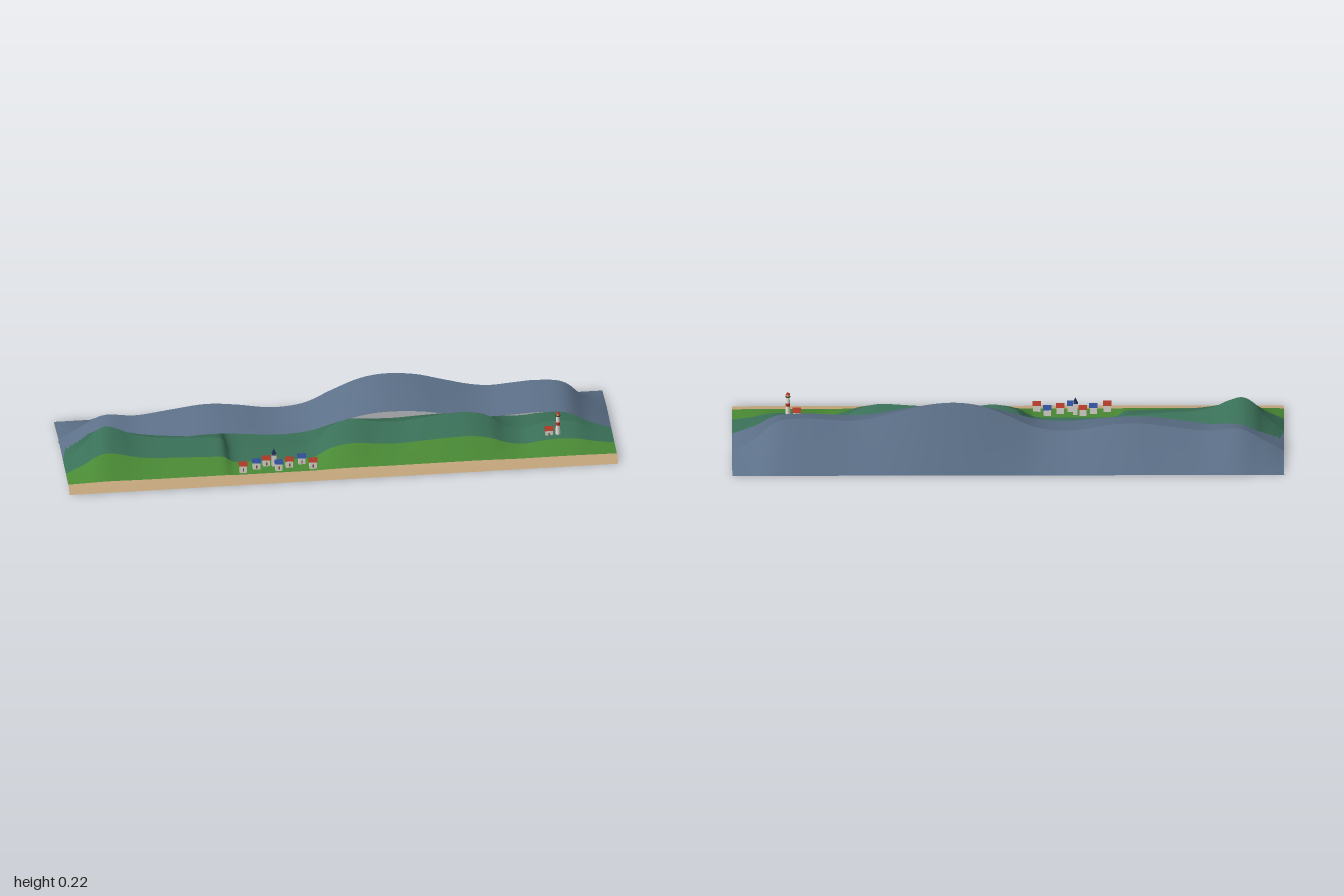
import * as THREE from 'three';

const SHORE = 0.016; // height of the flat coast
const mat = (color, extra = {}) => new THREE.MeshStandardMaterial({ color, ...extra });
const add = (group, geo, material, name, x = 0, y = 0, z = 0) => {
  const mesh = new THREE.Mesh(geo, material);
  mesh.name = name;
  mesh.position.set(x, y, z);
  group.add(mesh);
  return mesh;
};

// Smooth skyline through [x, y] points
function skyline(points, columns) {
  return new THREE.CatmullRomCurve3(points.map(([x, y]) => new THREE.Vector3(x, y, 0)), false, 'centripetal')
    .getPoints(columns);
}

// Strip of land between two rows; a row gives z and height as a function of the skyline
function band(line, back, front) {
  const pos = [], index = [];
  line.forEach((p, i) => {
    pos.push(p.x, back.y(p.y), back.z, p.x, front.y(p.y), front.z);
    if (i) {
      const a = 2 * (i - 1);
      index.push(a, a + 1, a + 2, a + 2, a + 1, a + 3);
    }
  });
  const geo = new THREE.BufferGeometry();
  geo.setAttribute('position', new THREE.Float32BufferAttribute(pos, 3));
  geo.setIndex(index);
  geo.computeVertexNormals();
  return geo;
}

const row = (z, share, base = SHORE) => ({ z, y: (h) => base + Math.max(0, h - SHORE) * share });

// Triangular roof with its ridge along x
function gable(width, height, depth) {
  const s = new THREE.Shape();
  s.moveTo(-depth / 2, 0);
  s.lineTo(depth / 2, 0);
  s.lineTo(0, height);
  return new THREE.ExtrudeGeometry(s, { depth: width, bevelEnabled: false })
    .translate(0, 0, -width / 2).rotateY(Math.PI / 2);
}

export function createModel() {
  const model = new THREE.Group();
  model.name = 'coast';
  const land = (c) => mat(c, { side: THREE.DoubleSide });
  const sand = land(0xc2a57c), grass = land(0x4a8a35), upland = land(0x3a7058), slate = land(0x5c7088);
  const white = mat(0xe8e4da), red = mat(0xb03a2a), blue = mat(0x2f4f9a), navy = mat(0x26345f);
  const brown = mat(0x8a5a3a), dark = mat(0x333333);

  // Green foreground hills with the low village valley
  const hills = skyline([
    [-1, 0.016], [-0.93, 0.08], [-0.89, 0.13], [-0.85, 0.153], [-0.8, 0.14], [-0.75, 0.115], [-0.68, 0.098],
    [-0.58, 0.09], [-0.48, 0.082], [-0.425, 0.076], [-0.39, 0.036], [-0.3, 0.028], [-0.2, 0.028], [-0.1, 0.034],
    [-0.07, 0.06], [-0.03, 0.1], [0.05, 0.125], [0.14, 0.11], [0.22, 0.104], [0.3, 0.114], [0.4, 0.125],
    [0.48, 0.126], [0.55, 0.104], [0.61, 0.062], [0.67, 0.045], [0.74, 0.062], [0.8, 0.069], [0.87, 0.06],
    [0.93, 0.035], [1, 0.016],
  ], 120);
  const edge = row(0.26, 0, 0), beach = row(0.236, 0), meadow = row(0.213, 0.03),
    shoulder = row(0.135, 0.55), crest = row(0.048, 1), lee = row(-0.075, 0.35), foot = row(-0.12, 0, 0);
  const ground = new THREE.Group();
  ground.name = 'hills';
  add(ground, band(hills, beach, edge), sand, 'beachSlope');
  add(ground, band(hills, meadow, beach), sand, 'beach');
  add(ground, band(hills, shoulder, meadow), grass, 'meadow');
  add(ground, band(hills, crest, shoulder), upland, 'upland');
  add(ground, band(hills, lee, crest), upland, 'backHillside');
  add(ground, band(hills, foot, lee), upland, 'backFoot');

  // Distant blue ridge, open underneath in front
  const ridge = skyline([
    [-1, 0.016], [-0.92, 0.065], [-0.84, 0.108], [-0.72, 0.1], [-0.6, 0.115], [-0.46, 0.131], [-0.35, 0.121],
    [-0.25, 0.104], [-0.18, 0.102], [-0.1, 0.115], [0, 0.163], [0.1, 0.204], [0.19, 0.217], [0.3, 0.207],
    [0.4, 0.179], [0.5, 0.152], [0.57, 0.143], [0.66, 0.149], [0.74, 0.153], [0.84, 0.139], [0.92, 0.068], [1, 0.016],
  ], 100);
  const range = new THREE.Group();
  range.name = 'mountainRange';
  add(range, band(ridge, row(-0.107, 1), row(0.03, 0.6)), slate, 'mountainFront');
  add(range, band(ridge, row(-0.26, 0, 0), row(-0.107, 1)), slate, 'mountainBack');

  // Cottage: walls on a plinth with a gable roof; y is the floor
  function cottage(name, x, y, z, roof, plinth = true) {
    const g = new THREE.Group();
    g.name = name;
    g.position.set(x, y, z);
    if (plinth) add(g, new THREE.BoxGeometry(0.03, 0.005, 0.03), brown, 'plinth', 0, 0.0025, 0);
    add(g, new THREE.BoxGeometry(0.026, 0.034, 0.02), white, 'walls', 0, 0.02, 0);
    add(g, gable(0.031, 0.014, 0.026), roof, 'roof', 0, 0.036, 0);
    add(g, new THREE.BoxGeometry(0.005, 0.012, 0.001), brown, 'door', 0, 0.02, 0.0103);
    return g;
  }

  // Village in the valley
  const village = new THREE.Group();
  village.name = 'village';
  [[-0.36, 0.193, red], [-0.31, 0.177, blue], [-0.272, 0.16, red], [-0.23, 0.193, blue],
    [-0.19, 0.177, red], [-0.143, 0.16, blue], [-0.105, 0.193, red]]
    .forEach(([x, z, roof], i) => village.add(cottage('cottage' + (i + 1), x, 0.01, z, roof)));

  // Church with a pointed steeple
  const church = new THREE.Group();
  church.name = 'church';
  church.position.set(-0.245, 0.012, 0.165);
  add(church, new THREE.BoxGeometry(0.016, 0.056, 0.016), white, 'tower', 0, 0.028, 0);
  add(church, new THREE.ConeGeometry(0.012, 0.024, 4).rotateY(Math.PI / 4), navy, 'steeple', 0, 0.066, 0);
  village.add(church);

  // Lighthouse and keeper's house on the eastern hill
  const lighthouse = new THREE.Group();
  lighthouse.name = 'lighthouse';
  lighthouse.position.set(0.797, 0.05, 0.108);
  add(lighthouse, new THREE.CylinderGeometry(0.006, 0.009, 0.076, 12), white, 'tower', 0, 0.038, 0);
  add(lighthouse, new THREE.CylinderGeometry(0.0078, 0.0084, 0.012, 12), red, 'band', 0, 0.044, 0);
  add(lighthouse, new THREE.CylinderGeometry(0.009, 0.009, 0.002, 12), dark, 'gallery', 0, 0.076, 0);
  add(lighthouse, new THREE.CylinderGeometry(0.005, 0.005, 0.01, 12), mat(0xe0b050), 'lantern', 0, 0.081, 0);
  add(lighthouse, new THREE.ConeGeometry(0.008, 0.009, 12), red, 'cap', 0, 0.09, 0);

  model.add(ground, range, village, lighthouse, cottage('keeperHouse', 0.765, 0.032, 0.104, red, false));
  return model;
}
